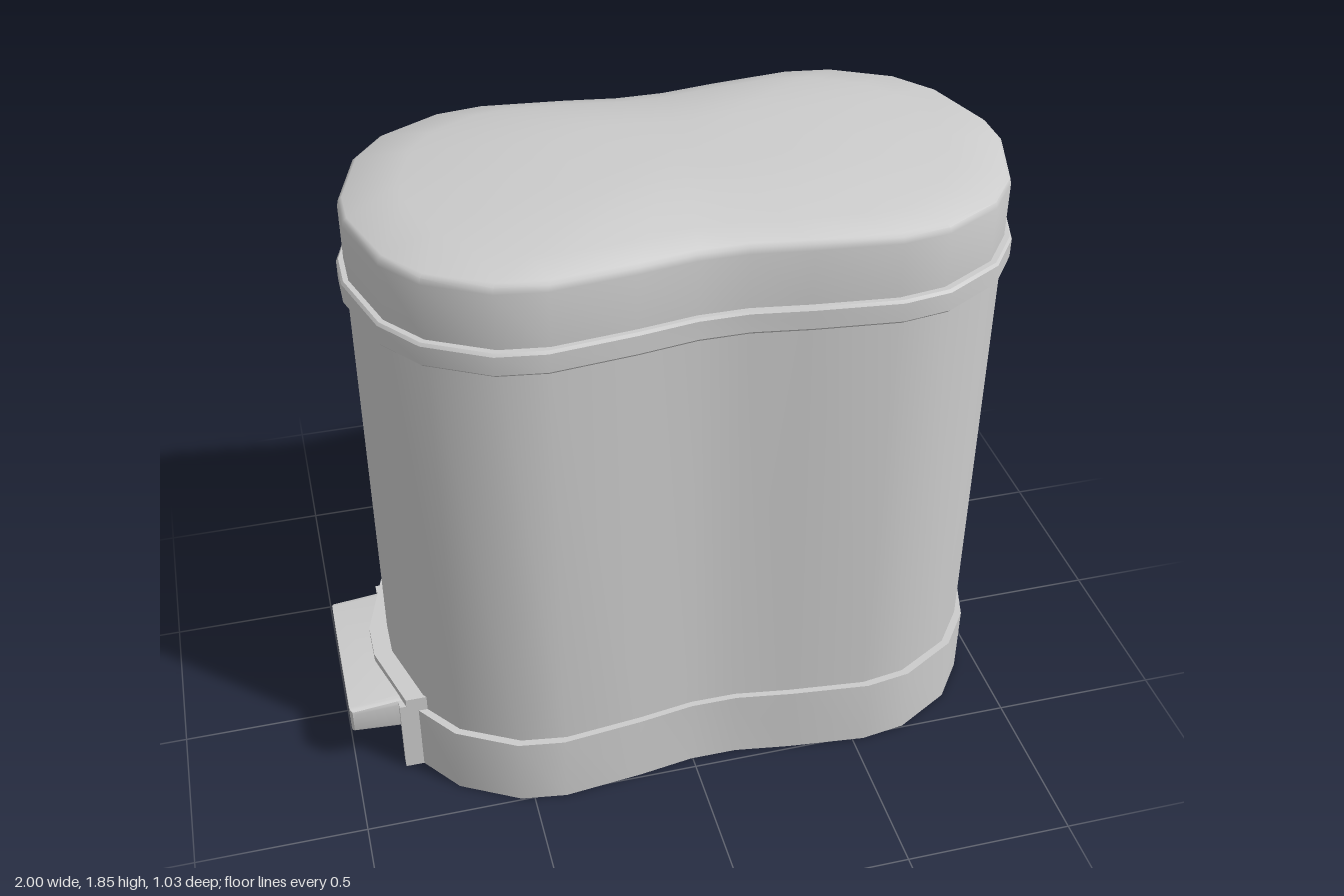
import * as THREE from 'three';
import { toCreasedNormals } from 'three/addons/utils/BufferGeometryUtils.js';

const CX = 0.065; // the bin sits right of centre, the pedal makes up the rest

// One quarter of the waisted outline, from the end round to the waist
const QUARTER = [[0.93, 0.06], [0.865, 0.28], [0.775, 0.4], [0.605, 0.495], [0.47, 0.515], [0.235, 0.49], [0.07, 0.465]];
const half = [...QUARTER, ...QUARTER.map(([x, z]) => [-x, z]).reverse()];
const OUTLINE = [...half, ...half.map(([x, z]) => [x, -z]).reverse()];

const material = new THREE.MeshStandardMaterial({ color: 0xcccccc });

function addPart(group, name, geometry, crease = 0.55) {
  const mesh = new THREE.Mesh(toCreasedNormals(geometry, crease), material);
  mesh.name = name;
  group.add(mesh);
  return mesh;
}

// Skin through copies of the outline; each ring is [height, inset, scale]
function loft(rings) {
  const n = OUTLINE.length, pos = [], index = [];
  for (const [y, inset, k = 1] of rings) {
    const sx = k * (0.93 - inset) / 0.93, sz = k * (0.515 - inset) / 0.515;
    for (const [x, z] of OUTLINE) pos.push(CX + x * sx, y, z * sz);
  }
  for (let r = 0; r < rings.length - 1; r++) {
    for (let i = 0; i < n; i++) {
      const a = r * n + i, b = r * n + (i + 1) % n;
      index.push(a, a + n, b + n, a, b + n, b);
    }
  }
  const geo = new THREE.BufferGeometry();
  geo.setAttribute('position', new THREE.Float32BufferAttribute(pos, 3));
  geo.setIndex(index);
  return geo;
}

// Upright slab with a plan given as [x, z] corners
function slab(plan, y0, y1) {
  const shape = new THREE.Shape(plan.map(([x, z]) => new THREE.Vector2(x, -z)));
  const geo = new THREE.ExtrudeGeometry(shape, { depth: y1 - y0, bevelEnabled: false });
  return geo.rotateX(-Math.PI / 2).translate(0, y0, 0);
}

// Curved strip that follows the pedal end of the bin
function endStrip(outer, y0, y1) {
  const plan = [[-0.74, 0.28], [-0.8 - outer, 0.28], [-0.865 - outer, 0.06],
    [-0.865 - outer, -0.06], [-0.8 - outer, -0.28], [-0.74, -0.28]];
  return slab(plan, y0, y1);
}

export function createModel() {
  const bin = new THREE.Group();
  bin.name = 'pedalBin';

  // Base with a slot at the pedal end
  const plan = [];
  for (const [x, z] of OUTLINE) {
    if (x < -0.8 && Math.abs(z) < 0.2) continue;
    if (x < -0.8 && z < 0) plan.push([-0.62, -0.26], [-0.805, -0.26]);
    plan.push([x + CX, z]);
    if (x < -0.8 && z > 0) plan.push([-0.805, 0.26], [-0.62, 0.26]);
  }
  addPart(bin, 'base', slab(plan, 0, 0.225));

  // Body
  addPart(bin, 'body', loft([[0.2, 0, 0], [0.2, 0.02], [1.6, 0.02]]));

  // Rounded rim under the lid
  addPart(bin, 'rim', loft([[1.535, 0.03], [1.535, 0.006], [1.542, 0], [1.597, 0], [1.605, 0.006], [1.605, 0.03]]));

  // Lid with a shallow dome
  addPart(bin, 'lid', loft([[1.6, 0.02], [1.765, 0.02], [1.782, 0.024], [1.79, 0.034],
    [1.812, 0.03, 0.83], [1.831, 0.03, 0.66], [1.844, 0.03, 0.48], [1.85, 0.03, 0.33], [1.852, 0.03, 0]]), 0.75);

  // Frame round the pedal slot
  const frame = new THREE.Group();
  frame.name = 'pedalFrame';
  addPart(frame, 'frameTop', endStrip(0.035, 0.25, 0.275));
  addPart(frame, 'frameLintel', endStrip(0.005, 0.215, 0.25));
  for (const side of [-1, 1]) {
    const leg = addPart(frame, 'frameLeg', new THREE.BoxGeometry(0.06, 0.25, 0.03));
    leg.position.set(-0.825, 0.125, side * 0.265);
  }
  bin.add(frame);

  // Pedal, tapering towards its tip
  const profile = new THREE.Shape([[-0.985, 0.165], [-0.985, 0.225], [-0.86, 0.238], [-0.68, 0.238], [-0.68, 0.155], [-0.86, 0.155]]
    .map(([x, y]) => new THREE.Vector2(x, y)));
  const pedal = new THREE.ExtrudeGeometry(profile, {
    depth: 0.46, bevelSize: 0.015, bevelThickness: 0.02, bevelSegments: 3,
  });
  addPart(bin, 'pedal', pedal.translate(0, 0, -0.23));

  return bin;
}
